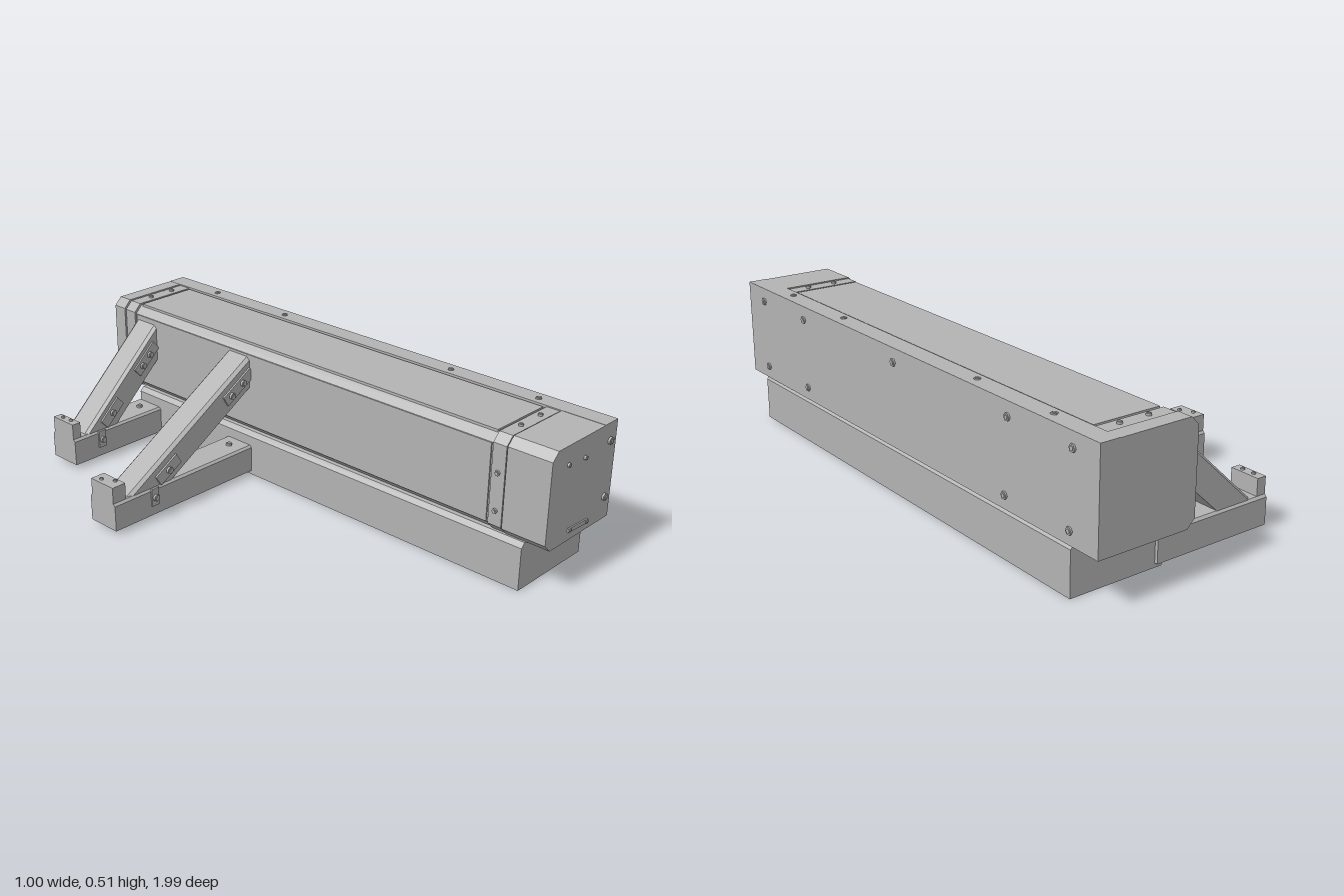
import * as THREE from 'three';

const steel = new THREE.MeshStandardMaterial({ color: 0xb3b3b3 });
steel.name = 'steel grey';

function add(parent, name, geometry, x = 0, y = 0, z = 0) {
  const mesh = new THREE.Mesh(geometry, steel);
  mesh.name = name;
  mesh.position.set(x, y, z);
  parent.add(mesh);
  return mesh;
}

// Box given by its limits
function box(parent, name, x0, x1, y0, y1, z0, z1) {
  return add(parent, name, new THREE.BoxGeometry(x1 - x0, y1 - y0, z1 - z0),
    (x0 + x1) / 2, (y0 + y1) / 2, (z0 + z1) / 2);
}

function extrude(points, depth) {
  const shape = new THREE.Shape(points.map(([x, y]) => new THREE.Vector2(x, y)));
  return new THREE.ExtrudeGeometry(shape, { depth, bevelEnabled: false });
}

// Hexagon bolt head with a small round stud, pointing along an axis
function bolt(parent, axis, x, y, z, r = 0.013) {
  const g = new THREE.Group();
  g.name = 'bolt';
  const hex = new THREE.CylinderGeometry(r, r, 0.012, 6);
  add(g, 'boltHead', hex.toNonIndexed());
  add(g, 'boltStud', new THREE.CylinderGeometry(r * 0.55, r * 0.55, 0.016, 12));
  if (axis === 'x') g.rotation.z = -Math.PI / 2;
  if (axis === 'z') g.rotation.x = Math.PI / 2;
  g.position.set(x, y, z);
  parent.add(g);
}

// Left-chamfered housing section between two z limits
function housing(parent, name, x0, x1, y0, y1, z0, z1, c = 0.028) {
  add(parent, name, extrude([[x0 + c, y0], [x1, y0], [x1, y1], [x0 + c, y1],
    [x0, y1 - c], [x0, y0 + c]], z1 - z0), 0, 0, z0);
}

// Profile with chamfered top edges, centred on the first axis
const barProfile = (w, y0, y1, c) => [[-w, y0], [w, y0], [w, y1 - c], [w - c, y1], [-w + c, y1], [-w, y1 - c]];

// Horizontal foot, diagonal brace, end block and fixing plates
function outrigger({ zc, tip, slope, low, high, plates, clip }) {
  const g = new THREE.Group();
  g.name = 'outrigger';
  const foot = extrude(barProfile(0.063, 0.015, 0.115, 0.008), 0.17 - tip);
  foot.rotateY(Math.PI / 2);
  add(g, 'foot', foot, tip, 0, 0);

  // Brace: profile heights hold at x = 0.14, lower end cut level inside the foot
  const brace = extrude(barProfile(0.056, low, high, 0.012), 1);
  const p = brace.attributes.position;
  for (let i = 0; i < p.count; i++) {
    const across = p.getX(i), h = p.getY(i);
    const x = p.getZ(i) > 0.5 ? 0.16 : 0.14 + (0.1 - h) / slope;
    p.setXYZ(i, x, h + slope * (x - 0.14), -across);
  }
  brace.computeVertexNormals();
  add(g, 'brace', brace);

  // End block with two bolts
  const end = tip + (tip < -0.4 ? 0.055 : 0.035);
  box(g, 'endBlock', tip, end, 0.105, 0.174, -0.055, 0.055);
  bolt(g, 'y', tip + 0.018, 0.174, -0.022, 0.007);
  bolt(g, 'y', end - 0.015, 0.174, 0.022, 0.007);
  bolt(g, 'y', 0.09, 0.117, 0, 0.012);

  for (const [x, y, length, boltOffsets] of plates) {
    const a = Math.atan(slope);
    const plate = add(g, 'bracePlate', new THREE.BoxGeometry(length, 0.042, 0.008), x, y, 0.059);
    plate.rotation.z = a;
    for (const o of boltOffsets) bolt(g, 'z', x + o * Math.cos(a), y + o * Math.sin(a), 0.066);
  }
  box(g, 'footClip', clip - 0.016, clip + 0.016, 0.05, 0.115, 0.06, 0.068);
  bolt(g, 'z', clip, 0.08, 0.07);
  g.position.z = zc;
  return g;
}

export function createModel() {
  const model = new THREE.Group();
  model.name = 'braced beam';

  // Plinth with chamfered top edges
  add(model, 'plinth', extrude([[0.142, 0], [0.485, 0], [0.485, 0.15], [0.47, 0.166],
    [0.157, 0.166], [0.142, 0.15]], 1.78), 0, 0, -0.88);

  // Housing: slightly recessed core, bolted bands and end caps
  housing(model, 'core', 0.147, 0.43, 0.165, 0.493, -0.95, 0.95);
  box(model, 'topCover', 0.172, 0.412, 0.48, 0.499, -0.88, 0.762);
  box(model, 'sideCover', 0.142, 0.16, 0.195, 0.465, -0.88, 0.762);
  housing(model, 'frontCap', 0.137, 0.42, 0.165, 0.502, 0.825, 0.985);
  housing(model, 'rearCap', 0.137, 0.42, 0.165, 0.502, -1, -0.945);
  for (const z of [-0.915, 0.795]) {
    housing(model, 'band', 0.14, 0.42, 0.165, 0.499, z - 0.025, z + 0.025);
    for (const x of [0.245, 0.35]) bolt(model, 'y', x, 0.5, z, 0.009);
    for (const y of [0.245, 0.375]) bolt(model, 'x', 0.139, y, z, 0.009);
  }

  // Full-length side channel with its bolts
  box(model, 'sideChannel', 0.42, 0.489, 0.165, 0.503, -1, 0.985);
  for (const z of [0.87, 0.578, 0, -0.6, -0.89]) bolt(model, 'x', 0.489, 0.455, z);
  for (const z of [0.863, 0.57, -0.585, -0.88]) bolt(model, 'x', 0.489, 0.21, z);
  for (const z of [-0.76, -0.4, 0.37, 0.72]) bolt(model, 'y', 0.45, 0.501, z, 0.011);

  // Front end fittings
  for (const y of [0.44, 0.245]) bolt(model, 'z', 0.455, y, 0.986, 0.014);
  for (const [x, y] of [[0.225, 0.437], [0.315, 0.43], [0.263, 0.202], [0.358, 0.196]])
    bolt(model, 'z', x, y, 0.986, 0.008);
  const link = add(model, 'frontLink', new THREE.BoxGeometry(0.11, 0.014, 0.006), 0.31, 0.199, 0.987);
  link.rotation.z = -0.06;

  // Two outriggers, the rear one shorter and steeper
  model.add(outrigger({
    zc: -0.334, tip: -0.498, slope: 0.595, low: 0.34, high: 0.455, clip: -0.324,
    plates: [[-0.255, 0.159, 0.11, [0]], [0.085, 0.362, 0.15, [-0.043, 0.02]]],
  }));
  model.add(outrigger({
    zc: -0.828, tip: -0.275, slope: 0.93, low: 0.31, high: 0.445, clip: -0.15,
    plates: [[-0.092, 0.168, 0.11, [0]], [0.085, 0.332, 0.13, [-0.03, 0.02]]],
  }));
  return model;
}
